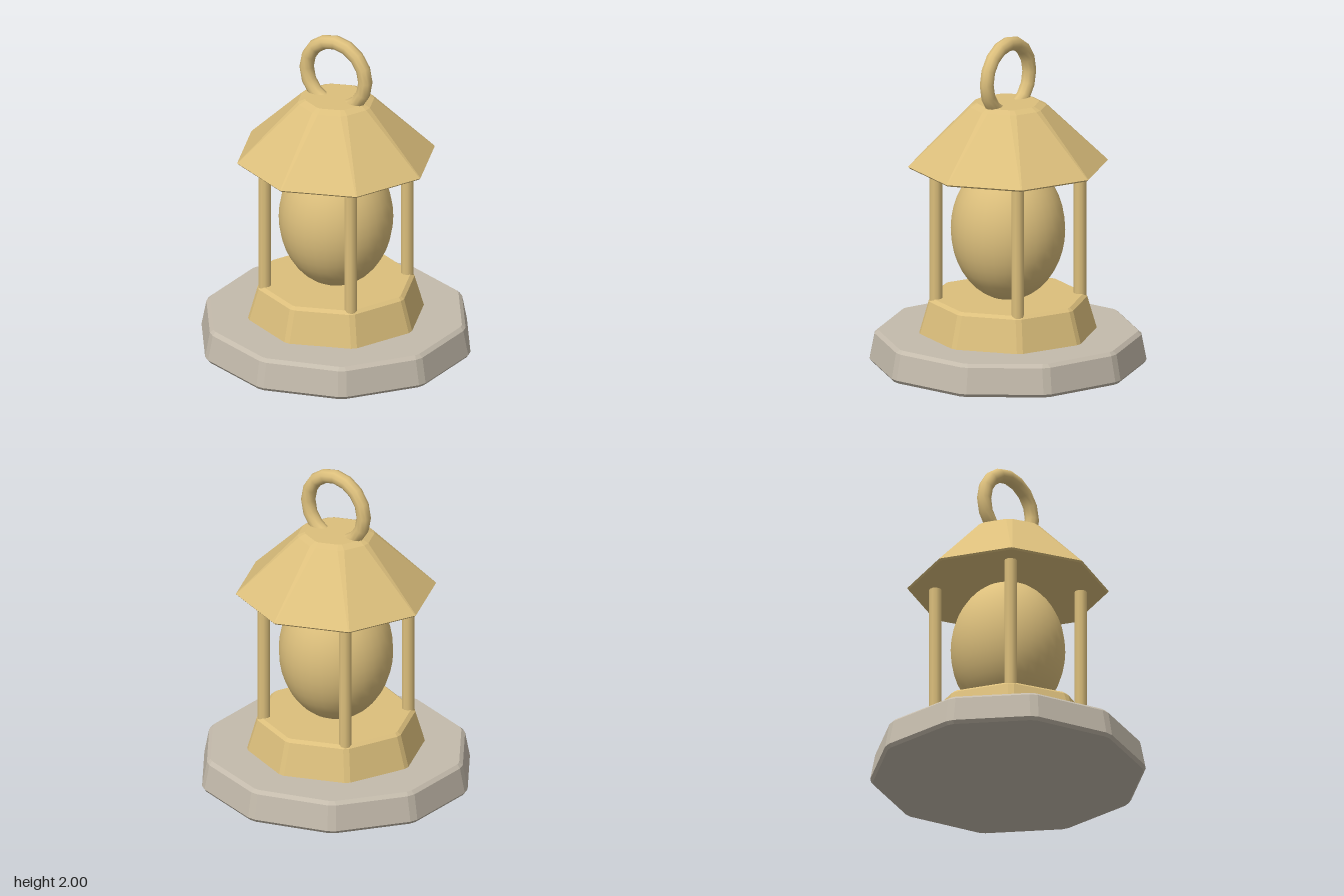
import * as THREE from 'three';

// Faceted solid with n sides and chamfered corners; profile points are [radius, y, half corner width].
function facetedSolid(profile, n) {
  const point = ([r, y, cut = 0], j) => {
    const k = j % (2 * n);
    const side = k % 2 ? 1 : -1;
    const a = (Math.floor(k / 2) / n) * Math.PI * 2 + (r > 0 ? (side * cut) / r : 0);
    return [r * Math.sin(a), y, r * Math.cos(a)];
  };
  const pos = [];
  for (let i = 0; i < profile.length - 1; i++) {
    const lo = profile[i], up = profile[i + 1];
    for (let j = 0; j < 2 * n; j++) {
      const a = point(lo, j), b = point(lo, j + 1), c = point(up, j + 1), d = point(up, j);
      if (lo[0] > 0) pos.push(...a, ...b, ...c);
      else pos.push(...a, ...c, ...d);
      if (lo[0] > 0 && up[0] > 0) pos.push(...a, ...c, ...d);
    }
  }
  const geo = new THREE.BufferGeometry();
  geo.setAttribute('position', new THREE.Float32BufferAttribute(pos, 3));
  geo.computeVertexNormals();
  return geo;
}

export function createModel() {
  const group = new THREE.Group();
  const brass = new THREE.MeshStandardMaterial({ color: 0xdcbf7c });
  brass.name = 'brass';
  const stone = new THREE.MeshStandardMaterial({ color: 0xc4bbac });
  stone.name = 'stone';

  const add = (name, geo, mat, x = 0, y = 0, z = 0) => {
    const mesh = new THREE.Mesh(geo, mat);
    mesh.name = name;
    mesh.position.set(x, y, z);
    group.add(mesh);
    return mesh;
  };

  // Ten-sided stone plinth
  add('plinth', facetedSolid([
    [0, 0], [0.805, 0, 0.02], [0.82, 0.02, 0.025], [0.79, 0.175, 0.025], [0.77, 0.195, 0.015], [0, 0.195],
  ], 10), stone);

  // Eight-sided lamp foot
  add('foot', facetedSolid([
    [0, 0.18], [0.533, 0.18, 0.018], [0.472, 0.39, 0.018], [0.452, 0.408, 0.01], [0, 0.408],
  ], 8), brass);

  // Egg-shaped globe
  add('globe', new THREE.SphereGeometry(1, 32, 20), brass, 0, 0.82, 0).scale.set(0.34, 0.43, 0.34);

  // Four corner posts
  for (const x of [-1, 1]) for (const z of [-1, 1]) {
    add('post', new THREE.CylinderGeometry(0.038, 0.038, 0.84, 10), brass, x * 0.305, 0.8, z * 0.305);
  }

  // Eight-sided roof
  add('roof', facetedSolid([
    [0, 1.212], [0.588, 1.212, 0.003], [0.597, 1.222, 0.004], [0.228, 1.58, 0.02], [0.185, 1.6, 0.012], [0, 1.6],
  ], 8), brass);

  // Carrying ring
  add('ring', new THREE.TorusGeometry(0.208, 0.043, 10, 16), brass, 0, 1.749, 0);

  return group;
}
